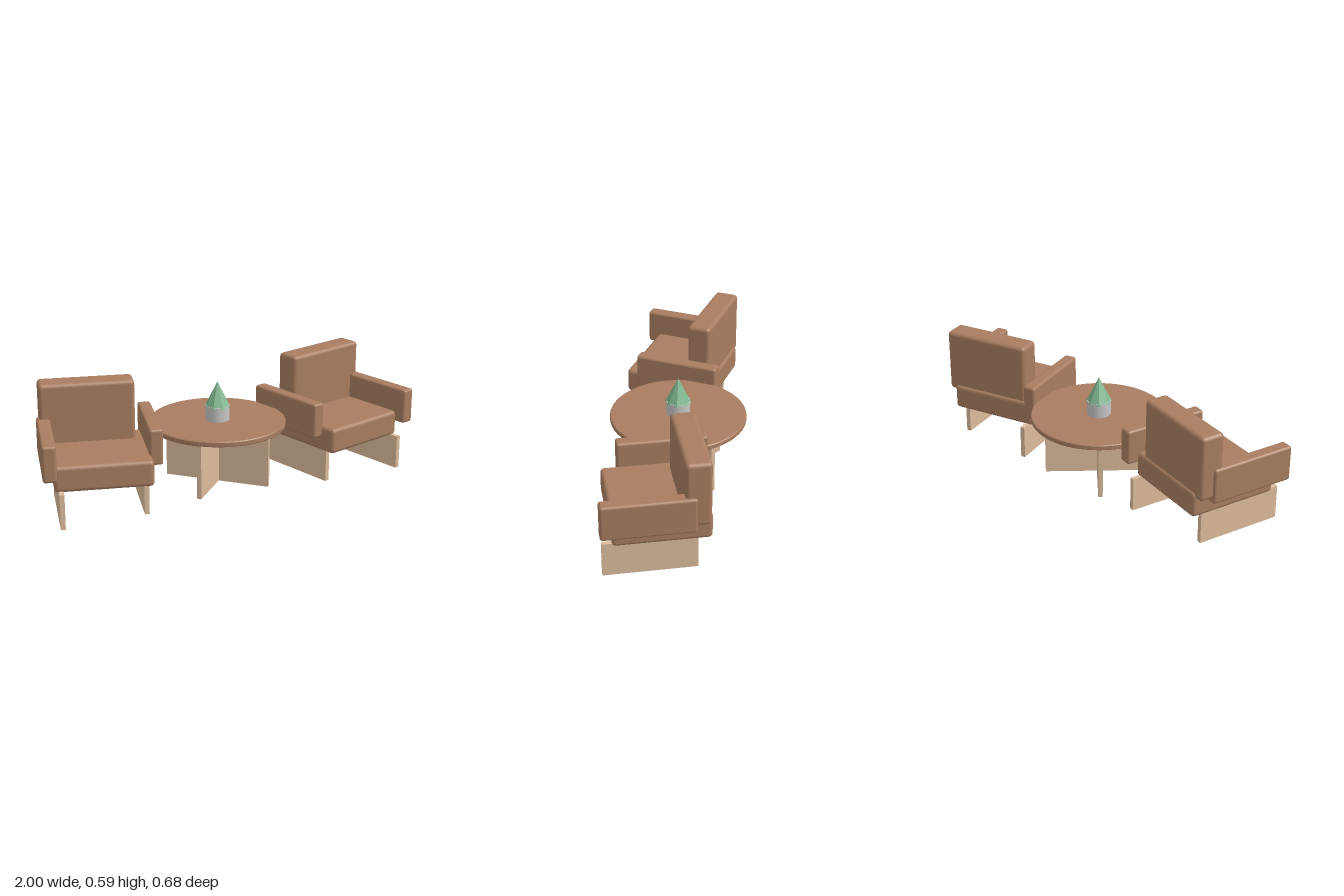
import * as THREE from 'three';
import { RoundedBoxGeometry } from 'three/addons/geometries/RoundedBoxGeometry.js';
import { toCreasedNormals } from 'three/addons/utils/BufferGeometryUtils.js';

const material = (name, color, flatShading = false) => {
  const m = new THREE.MeshStandardMaterial({ color, flatShading });
  m.name = name;
  return m;
};

export function createModel() {
  const brown = material('brown', 0xa87d60);
  const paleWood = material('paleWood', 0xdcbb9c);
  const grey = material('grey', 0xc6c6c6);
  const green = material('green', 0x7fb88f, true);
  const model = new THREE.Group();

  const add = (parent, name, geometry, mat, x, y, z, turn = 0) => {
    const mesh = new THREE.Mesh(geometry, mat);
    mesh.name = name;
    mesh.position.set(x, y, z);
    mesh.rotation.y = turn;
    parent.add(mesh);
    return mesh;
  };

  // Armchairs: every part is turned outward about its own centre
  const seatGeo = new RoundedBoxGeometry(0.47, 0.129, 0.46, 3, 0.02);
  const backGeo = new RoundedBoxGeometry(0.463, 0.326, 0.122, 3, 0.02);
  const armGeo = new RoundedBoxGeometry(0.066, 0.178, 0.438, 3, 0.013);
  const legGeo = new THREE.BoxGeometry(0.023, 0.172, 0.442);
  for (const side of [-1, 1]) {
    const chair = new THREE.Group();
    chair.name = side > 0 ? 'leftArmchair' : 'rightArmchair';
    chair.position.x = side * 0.648;
    const turn = side * Math.PI / 12;
    add(chair, 'seat', seatGeo, brown, 0, 0.229, 0.041, turn);
    add(chair, 'backrest', backGeo, brown, 0, 0.426, -0.122, turn);
    for (const s of [-1, 1]) {
      add(chair, 'armrest', armGeo, brown, s * 0.264, 0.328, 0.041, turn);
      add(chair, 'legPanel', legGeo, paleWood, s * 0.211, 0.086, 0.041, turn);
    }
    model.add(chair);
  }

  // Round table on two crossed panels
  const table = new THREE.Group();
  table.name = 'table';
  const profile = [[0, 0], [0.337, 0], [0.341, 0.004], [0.341, 0.023], [0.337, 0.027], [0, 0.027]]
    .map(([x, y]) => new THREE.Vector2(x, y));
  add(table, 'tableTop', toCreasedNormals(new THREE.LatheGeometry(profile, 64), 0.6), brown, 0, 0.3, 0);
  const panelGeo = new THREE.BoxGeometry(0.543, 0.302, 0.022);
  for (const s of [-1, 1]) add(table, 'tablePanel', panelGeo, paleWood, 0, 0.151, 0, s * Math.PI / 4);
  model.add(table);

  // Potted plant
  const plant = new THREE.Group();
  plant.name = 'plant';
  add(plant, 'pot', new THREE.CylinderGeometry(0.06, 0.06, 0.075, 24), grey, 0, 0.3645, 0);
  add(plant, 'foliage', new THREE.ConeGeometry(0.065, 0.131, 8), green, 0, 0.4585, 0);
  model.add(plant);

  return model;
}
